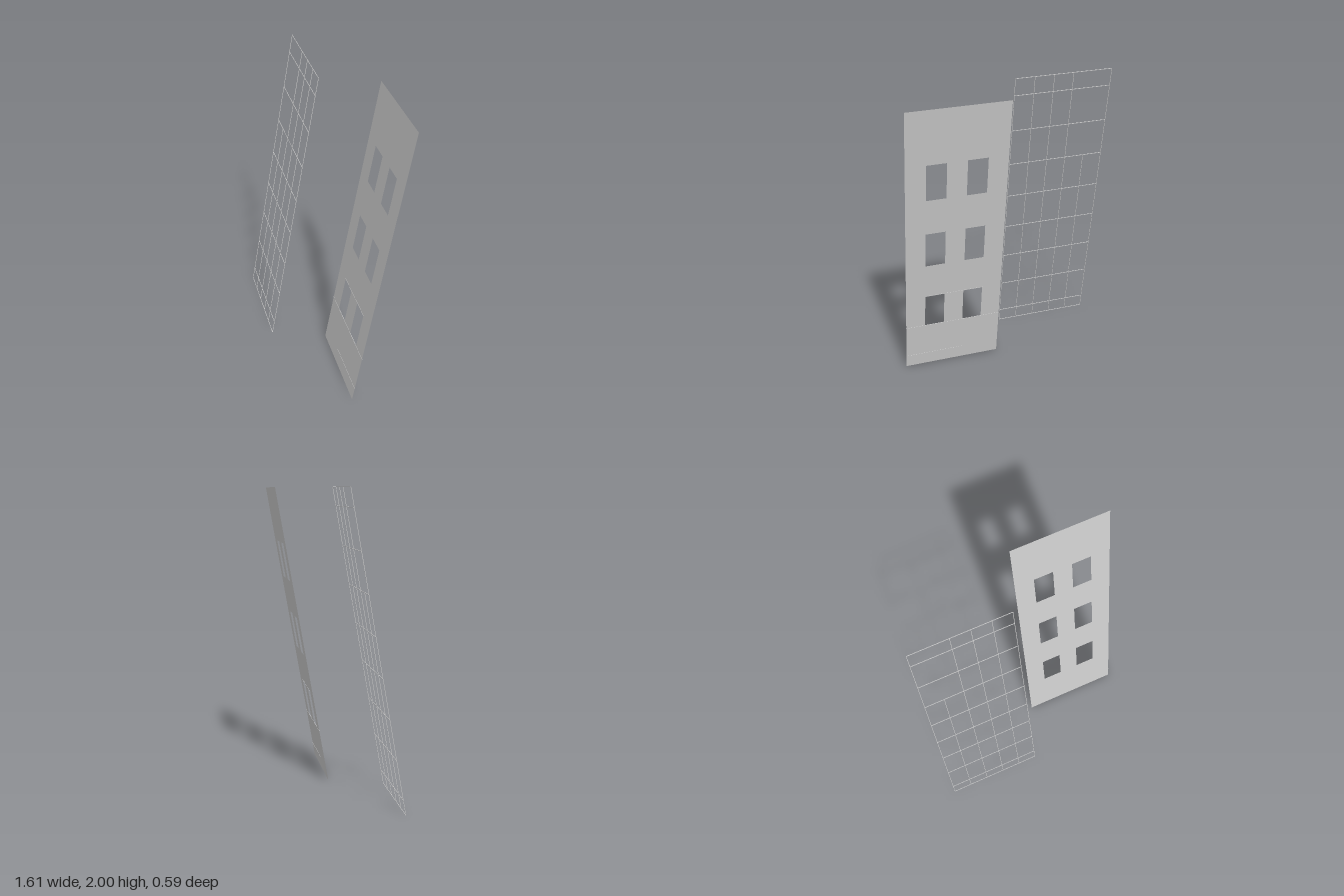
import * as THREE from 'three';

export function createModel() {
  const model = new THREE.Group();
  const grey = new THREE.MeshStandardMaterial({ color: 0xcccccc, side: THREE.DoubleSide });

  // Both leaning panels share one plane direction
  const across = new THREE.Vector3(0.595, 0, 0.27);
  const up = new THREE.Vector3(0.145, 2, -0.32);
  const W = across.length(), H = up.length(), T = 0.003;
  const right = across.clone().normalize();
  const normal = right.clone().cross(up).normalize();
  const basis = new THREE.Matrix4().makeBasis(right, normal.clone().cross(right), normal);

  const columns = [0, 0.2, 0.4, 0.6, 0.8, 1].map((u) => u * W);
  const rows = [0, 0.095, 0.35, 0.605, 0.86, 1.115, 1.37, 1.625, 1.88, 2].map((y) => (y / 2) * H);

  function leaningGroup(name, x) {
    const group = new THREE.Group();
    group.name = name;
    group.quaternion.setFromRotationMatrix(basis);
    group.position.set(x, 0, 0.025);
    model.add(group);
    return group;
  }

  // Thin bar filling the rectangle x0..x1, y0..y1, widened by its thickness
  function bar(group, name, x0, x1, y0, y1) {
    const mesh = new THREE.Mesh(new THREE.BoxGeometry(x1 - x0 + T, y1 - y0 + T, T), grey);
    mesh.name = name;
    mesh.position.set((x0 + x1) / 2, (y0 + y1) / 2, 0);
    group.add(mesh);
  }

  // Open lattice: the second upright stops part way up
  const lattice = leaningGroup('openLattice', -0.805);
  columns.forEach((x, i) => bar(lattice, 'upright', x, x, 0, i === 1 ? rows[6] : H));
  rows.forEach((y) => bar(lattice, 'crossbar', 0, W, y, y));

  // Solid wall sheet with two columns of three windows
  const wall = leaningGroup('windowWall', 0.065);
  const outline = new THREE.Shape();
  outline.moveTo(0, 0).lineTo(W, 0).lineTo(W, H).lineTo(0, H).closePath();
  for (const c of [1, 3]) {
    for (const r of [2, 4, 6]) {
      const hole = new THREE.Path();
      hole.moveTo(columns[c], rows[r]).lineTo(columns[c], rows[r + 1]);
      hole.lineTo(columns[c + 1], rows[r + 1]).lineTo(columns[c + 1], rows[r]).closePath();
      outline.holes.push(hole);
    }
  }
  const sheet = new THREE.Mesh(new THREE.ShapeGeometry(outline), grey);
  sheet.name = 'wallSheet';
  wall.add(sheet);

  // Fine seams near the foot of the wall
  bar(wall, 'footSeam', columns[2], W, rows[1], rows[1]);
  bar(wall, 'sillSeam', 0, W, rows[2], rows[2]);
  bar(wall, 'headSeam', columns[1], columns[4], rows[3], rows[3]);

  return model;
}
